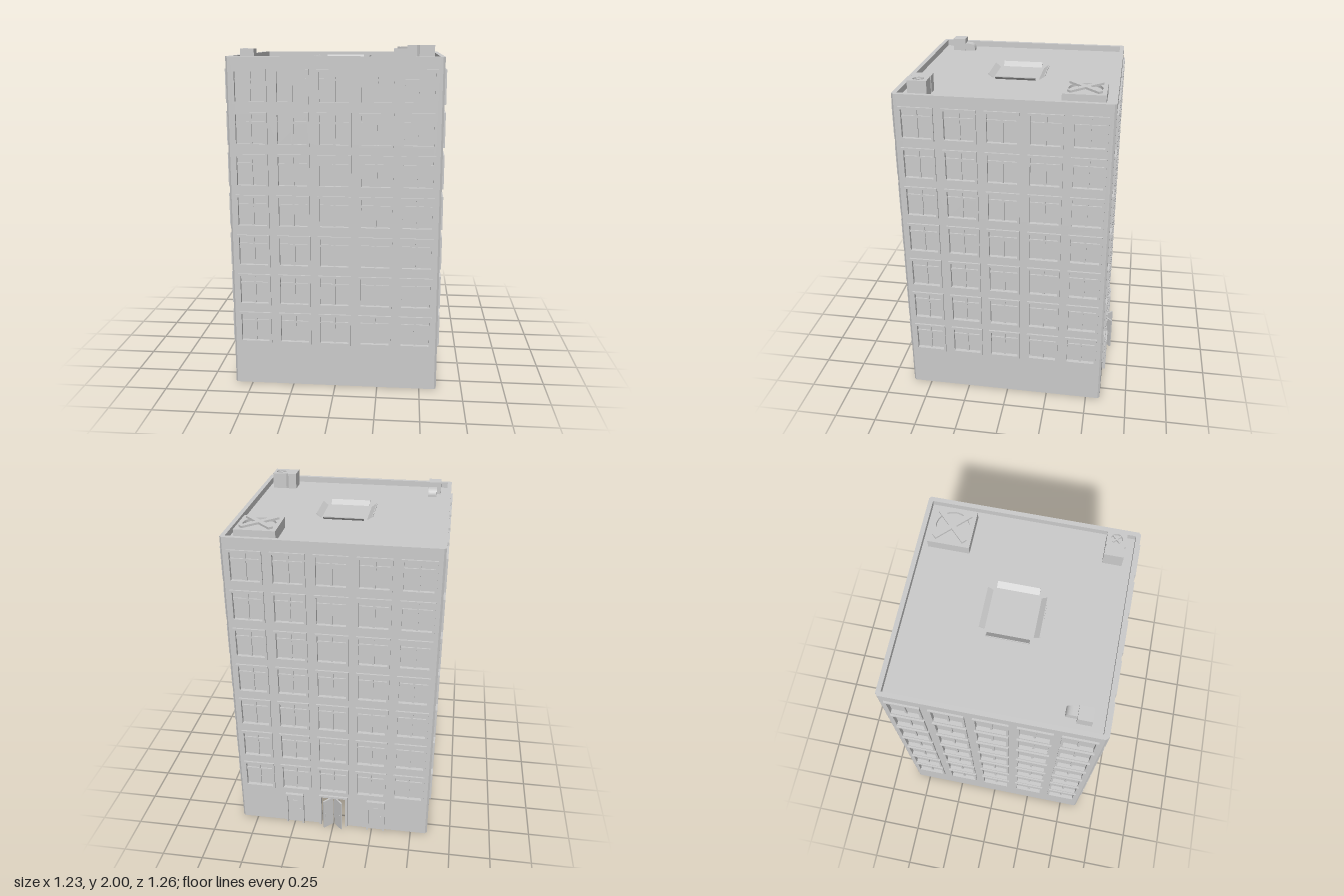
import * as THREE from 'three';
import { mergeGeometries } from 'three/addons/utils/BufferGeometryUtils.js';

const HALF = 0.603, INNER = 0.577, TOP = 1.94, ROOF = 1.905;
const STEP = 0.2355, ROW0 = 0.357, ROW_STEP = 0.2365;
const mat = new THREE.MeshStandardMaterial({ color: 0xcccccc, flatShading: true });

function add(parent, name, geometry, x = 0, y = 0, z = 0) {
  const m = new THREE.Mesh(geometry, mat);
  m.name = name;
  m.position.set(x, y, z);
  parent.add(m);
  return m;
}

function polygon(points, Type = THREE.Shape) {
  return new Type(points.map(([x, y]) => new THREE.Vector2(x, y)));
}

function rect(cx, cy, w, h, Type) {
  const a = w / 2, b = h / 2;
  return polygon([[cx - a, cy - b], [cx + a, cy - b], [cx + a, cy + b], [cx - a, cy + b]], Type);
}

const extrude = (shape, depth) =>
  new THREE.ExtrudeGeometry(shape, { depth, bevelEnabled: false, curveSegments: 16 });

const box = (w, h, d, x = 0, y = 0, z = 0) =>
  new THREE.BoxGeometry(w, h, d).translate(x, y, z);

const merge = (list) => mergeGeometries(list.map((g) => (g.index ? g.toNonIndexed() : g)));

// Window: frame proud of the wall, recessed glass, transom and mullion
function windowGeometry() {
  const frame = rect(0, 0, 0.192, 0.192);
  frame.holes.push(rect(0, 0, 0.165, 0.165, THREE.Path));
  return merge([
    extrude(frame, 0.011).translate(0, 0, HALF),
    box(0.17, 0.17, 0.004, 0, 0, 0.588),
    box(0.166, 0.012, 0.018, 0, 0.038, 0.59),
    box(0.012, 0.166, 0.018, 0, 0, 0.59),
  ]);
}

// Wall with window openings and door notches along the bottom
function wallGeometry(doors) {
  const pts = [[-INNER, 0]];
  for (const { x, w, h } of doors)
    pts.push([x - w / 2, 0], [x - w / 2, h], [x + w / 2, h], [x + w / 2, 0]);
  pts.push([INNER, 0], [INNER, TOP], [-INNER, TOP]);
  const shape = polygon(pts);
  for (let r = 0; r < 7; r++)
    for (let c = -2; c <= 2; c++)
      shape.holes.push(rect(c * STEP, ROW0 + r * ROW_STEP, 0.166, 0.166, THREE.Path));
  return extrude(shape, HALF - INNER).translate(0, 0, INNER);
}

// Door surround: an upside-down U
function doorFrame(w, h, t, depth) {
  const a = w / 2, b = a - t;
  return extrude(polygon([[-a, 0], [-b, 0], [-b, h - t], [b, h - t], [b, 0], [a, 0], [a, h], [-a, h]]), depth);
}

// Rooftop fan: open-topped box, sunken disc and crossed bars
function fanUnit(name, w, d, h, r, fanX, barLength, barWidth, notch) {
  const g = new THREE.Group();
  g.name = name;
  const a = w / 2, b = d / 2, n = 0.008;
  const body = notch
    ? polygon([[-a, -b], [-n * 3, -b], [-n * 2, n - b], [-n, -b], [a, -b], [a, b],
      [-n, b], [-n * 2, b - n], [-n * 3, b], [-a, b]])
    : rect(0, 0, w, d);
  const hole = new THREE.Path();
  hole.absarc(fanX, 0, r, 0, Math.PI * 2, true);
  body.holes.push(hole);
  add(g, 'fanHousing', extrude(body, h).rotateX(-Math.PI / 2));
  add(g, 'fanWell', new THREE.CylinderGeometry(r, r, 0.01, 32), fanX, h - 0.02, 0);
  for (const s of [-1, 1])
    add(g, 'fanBlade', box(barLength, 0.012, barWidth), fanX, h + (notch ? -0.007 : 0.006), 0).rotation.y = s * Math.PI / 4;
  return g;
}

export function createModel() {
  const model = new THREE.Group();
  model.name = 'apartmentBlock';
  const building = new THREE.Group();
  building.name = 'building';
  building.position.set(-0.002, 0, 0.015);
  model.add(building);

  // Four walls with their windows; doors are in the back wall
  const doors = [{ x: -0.249, w: 0.094, h: 0.215 }, { x: 0, w: 0.158, h: 0.222 }, { x: 0.272, w: 0.094, h: 0.215 }];
  const windowGeo = windowGeometry();
  const sides = ['front', 'left', 'back', 'right'].map((name, i) => {
    const side = new THREE.Group();
    side.name = name + 'Side';
    side.rotation.y = i * Math.PI / 2;
    building.add(side);
    add(side, name + 'Wall', wallGeometry(name === 'back' ? doors : []));
    for (let r = 0; r < 7; r++)
      for (let c = -2; c <= 2; c++)
        add(side, 'window', windowGeo, c * STEP, ROW0 + r * ROW_STEP, 0);
    // Chamfered corner post
    const post = polygon([[INNER, INNER], [HALF, INNER], [HALF, 0.591], [0.591, HALF], [INNER, HALF]]);
    add(side, 'cornerPost', extrude(post, TOP).rotateX(-Math.PI / 2));
    return side;
  });
  add(building, 'roof', box(2 * INNER, 0.02, 2 * INNER, 0, ROOF - 0.01, 0));

  // Single doors either side of the entrance
  const back = sides[2];
  for (const { x } of [doors[0], doors[2]]) {
    add(back, 'doorFrame', doorFrame(0.115, 0.228, 0.012, 0.02), x, 0, HALF);
    add(back, 'door', box(0.094, 0.217, 0.016, 0, 0.1085, 0.6), x);
    add(back, 'doorPlate', box(0.03, 0.01, 0.006, 0, 0.17, 0.61), x);
    add(back, 'doorHandle', box(0.008, 0.02, 0.01, 0.033, 0.1, 0.612), x);
  }
  // Double entrance standing open
  add(back, 'entranceFrame', doorFrame(0.18, 0.236, 0.013, 0.013), 0, 0, HALF);
  for (const s of [-1, 1]) {
    const leaf = new THREE.Group();
    leaf.name = 'entranceDoor';
    leaf.position.set(s * 0.032, 0, 0.618);
    leaf.rotation.y = -s * Math.PI / 4;
    add(leaf, 'doorLeaf', box(0.074, 0.215, 0.009, 0, 0.1075, 0));
    add(leaf, 'doorHandle', box(0.006, 0.025, 0.016, s * 0.026, 0.1, 0));
    back.add(leaf);
  }

  // Roof hatch: four flaps leaning outwards
  const flap = extrude(polygon([[0.133, 0], [0.139, 0], [0.168, 0.02], [0.168, 0.025], [0.163, 0.025]]), 0.235)
    .translate(0, 0, -0.1175);
  for (let i = 0; i < 4; i++)
    add(building, 'hatchFlap', flap, 0, ROOF, 0).rotation.y = i * Math.PI / 2;

  // Rooftop fans
  const largeFan = fanUnit('largeFan', 0.232, 0.235, 0.06, 0.093, 0, 0.24, 0.03, false);
  largeFan.position.set(0.422, ROOF, -0.412);
  const smallFan = fanUnit('smallFan', 0.15, 0.108, 0.095, 0.031, 0.032, 0.056, 0.008, true);
  smallFan.position.set(0.47, ROOF, 0.487);
  model.add(largeFan, smallFan);

  // Vent box with a curved duct
  const vent = new THREE.Group();
  vent.name = 'roofVent';
  vent.position.set(-0.5, ROOF, 0.487);
  add(vent, 'ventBox', box(0.078, 0.075, 0.08, 0, 0.0375, 0));
  const duct = new THREE.Shape();
  duct.moveTo(0, 0);
  duct.lineTo(0.064, 0);
  duct.lineTo(0.064, 0.012);
  duct.quadraticCurveTo(0.06, 0.042, 0.03, 0.045);
  duct.lineTo(0, 0.045);
  add(vent, 'ventDuct', extrude(duct, 0.052).translate(0, 0, -0.026).rotateY(Math.PI / 2), 0.011, 0, -0.039);
  model.add(vent);
  return model;
}
